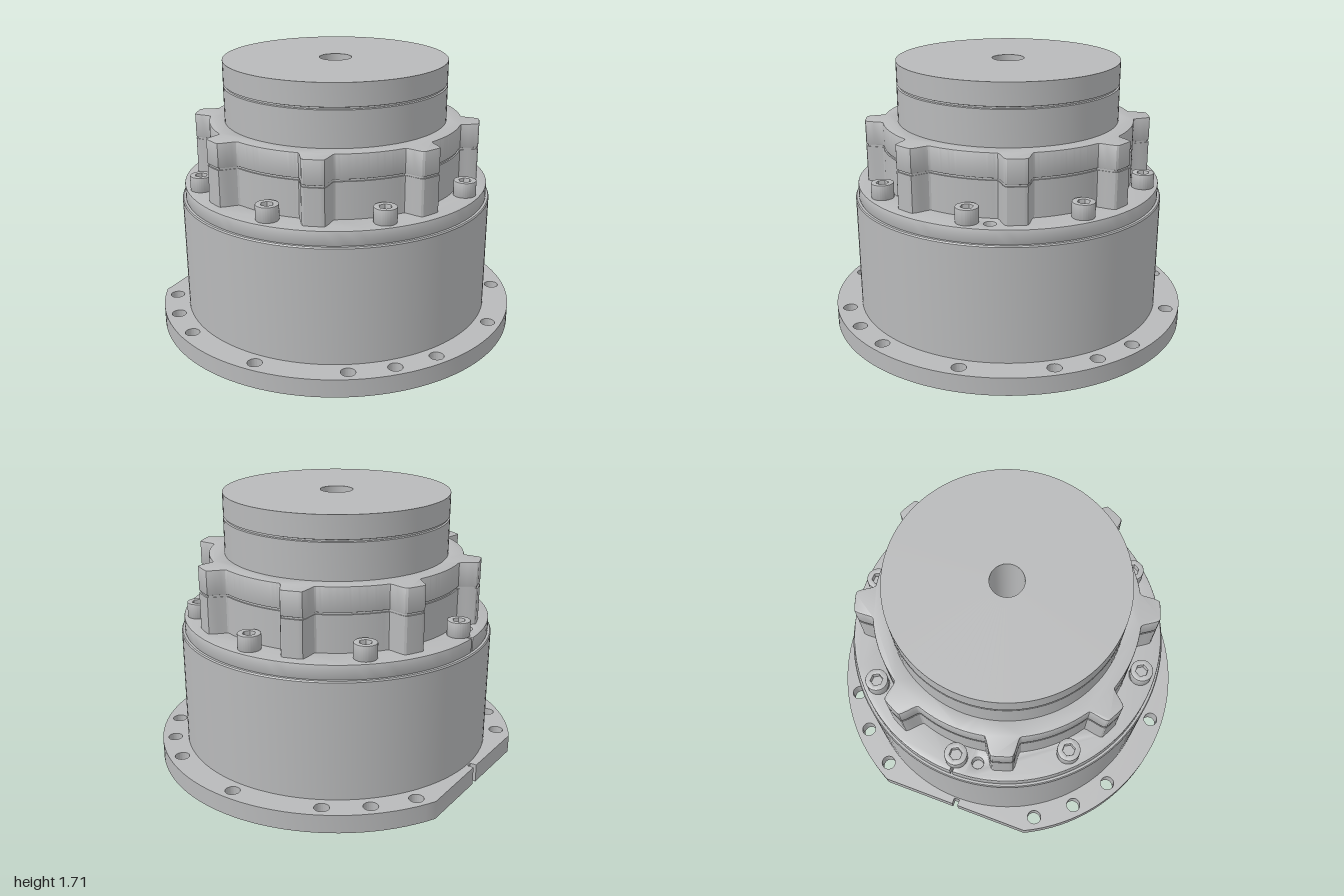
import * as THREE from 'three';
import { toCreasedNormals } from 'three/addons/utils/BufferGeometryUtils.js';

const steel = new THREE.MeshStandardMaterial({ color: 0xb8b9ba });
steel.name = 'plain steel grey';
const RAD = Math.PI / 180;

export function createModel() {
  const group = new THREE.Group();
  group.name = 'gearHousing';
  const unit = new THREE.Group();
  unit.name = 'housingAssembly';
  unit.position.x = -0.051; // flange is cut flat on one side, so the axis sits off centre
  group.add(unit);

  const add = (name, geometry, parent = unit) => {
    const mesh = new THREE.Mesh(geometry, steel);
    mesh.name = name;
    parent.add(mesh);
    return mesh;
  };
  const turned = (profile, segments = 96) =>
    new THREE.LatheGeometry(profile.map(([r, y]) => new THREE.Vector2(r, y)), segments);
  const crease = (g) => toCreasedNormals(g, 0.5);

  // Upright prism from a plan outline drawn in (x, z)
  const prism = (shape, y0, y1, bevel = 0) => {
    const g = new THREE.ExtrudeGeometry(shape, {
      depth: y1 - y0 - 2 * bevel, curveSegments: 48, bevelEnabled: bevel > 0,
      bevelThickness: bevel, bevelSize: bevel, bevelOffset: -bevel, bevelSegments: 2,
    });
    g.rotateX(Math.PI / 2);
    g.translate(0, y1 - bevel, 0);
    return crease(g);
  };
  const circle = (x, z, r, PathType = THREE.Path) => {
    const p = new PathType();
    p.absarc(x, z, r, 0, Math.PI * 2, false);
    return p;
  };
  const hexagon = (r, PathType = THREE.Path) => {
    const p = new PathType();
    p.setFromPoints([0, 1, 2, 3, 4, 5].map((i) =>
      new THREE.Vector2(r * Math.cos(i * 60 * RAD), r * Math.sin(i * 60 * RAD))));
    p.closePath();
    return p;
  };
  // Circle with a narrow notch, or a flat with a notch, on the -x side
  const notched = (r, flatX, notchX, half) => {
    const flatHalf = Math.sqrt(r * r - flatX * flatX);
    const a = Math.PI - Math.atan2(flatHalf, -flatX);
    const s = new THREE.Shape();
    s.absarc(0, 0, r, -a, a, false);
    s.lineTo(flatX, half);
    s.lineTo(notchX, half);
    s.lineTo(notchX, -half);
    s.lineTo(flatX, -half);
    s.closePath();
    return s;
  };

  // Mounting flange with bolt holes
  const flange = notched(1, -0.9, -0.865, 0.016);
  flange.holes.push(circle(0, 0, 0.845));
  for (const deg of [0, 30, 45, 60, 90, 120, 135, 150, -30, -45, -60, -90, -120, -135, -150]) {
    flange.holes.push(circle(0.93 * Math.cos(deg * RAD), 0.93 * Math.sin(deg * RAD), 0.039));
  }
  add('mountingFlange', prism(flange, 0.22, 0.32));

  // Main drum, with the slightly sunk plate underneath
  add('drum', crease(turned([
    [0.6, 0.235], [0.846, 0.235], [0.846, 0.315], [0.857, 0.315],
    [0.857, 0.955], [0.852, 0.962], [0.6, 0.962],
  ], 128)));

  // Collar with a slit and two small dowel holes
  const collar = notched(0.84, -0.8399, -0.815, 0.006);
  collar.holes.push(circle(0, 0, 0.62), circle(0.75, -0.115, 0.03), circle(-0.75, 0.115, 0.03));
  add('collar', prism(collar, 0.96, 1.04, 0.006));

  // Lobed ring in two stacked layers
  const lobes = (inset) => {
    const pts = [];
    for (let deg = 0; deg < 360; deg += 0.75) {
      const off = Math.abs(((deg - 26.5 + 382.5) % 45) - 22.5);
      const r = 0.69 + 0.095 * (1 - THREE.MathUtils.smoothstep(off, 3.6, 7.6)) - inset;
      pts.push(new THREE.Vector2(r * Math.cos(deg * RAD), r * Math.sin(deg * RAD)));
    }
    const s = new THREE.Shape(pts);
    s.holes.push(circle(0, 0, 0.59));
    return s;
  };
  add('lowerLobedRing', prism(lobes(0), 1.035, 1.238));
  add('ringSeam', prism(lobes(0.008), 1.236, 1.25));
  add('upperLobedRing', prism(lobes(0), 1.248, 1.38, 0.005));

  // Top cap with its groove, and the bore running down the middle
  add('topCap', crease(turned([
    [0.607, 1.37], [0.607, 1.573], [0.598, 1.576], [0.598, 1.584], [0.607, 1.587],
    [0.607, 1.708], [0.087, 1.708],
  ])));
  add('bore', crease(turned([[0.087, 1.708], [0.087, 0.3]], 32)));

  // Tapered bottom cup: four screw pockets are scooped from its side
  const side = [];
  for (let i = 0; i <= 14; i++) side.push([0.65 + 0.055 * i / 14, 0.015 + 0.225 * i / 14]);
  const cup = turned([[0.087, 0.3], [0.17, 0.3], [0.17, 0], [0.635, 0], [0.645, 0.004], ...side], 288);
  const pos = cup.attributes.position;
  const pocketAt = 0.74, pocketR = 0.075;
  for (let i = 0; i < pos.count; i++) {
    const x = pos.getX(i), z = pos.getZ(i), r = Math.hypot(x, z);
    const quarter = Math.PI / 2;
    const a = ((Math.atan2(z, x) + 2 * Math.PI) % quarter) - quarter / 2;
    const across = pocketAt * Math.sin(a);
    if (r < 0.64 || Math.abs(across) >= pocketR) continue;
    const cut = pocketAt * Math.cos(a) - Math.sqrt(pocketR ** 2 - across ** 2);
    if (cut < r) pos.setXYZ(i, x * cut / r, pos.getY(i), z * cut / r);
  }
  add('bottomCup', crease(cup));

  // Socket-head screws: eight on the collar, four under the flange
  const head = (r, socket, y0, y1) => {
    const s = circle(0, 0, r, THREE.Shape);
    s.holes.push(hexagon(socket));
    return prism(s, y0, y1, 0.004);
  };
  const screwHead = head(0.06, 0.033, 0, 0.083);
  const socketFloor = prism(hexagon(0.036, THREE.Shape), 0.01, 0.045);
  const screw = (name, deg, radius, y, flip) => {
    const g = new THREE.Group();
    g.name = name;
    add('screwHead', screwHead, g);
    add('socketFloor', socketFloor, g);
    g.position.set(radius * Math.cos(deg * RAD), y, radius * Math.sin(deg * RAD));
    if (flip) {
      g.rotation.x = Math.PI;
      g.scale.set(0.75, 0.25, 0.75);
    }
    unit.add(g);
  };
  for (let i = 0; i < 8; i++) screw('collarScrew', i * 45, 0.76, 1.04, false);
  for (let i = 0; i < 4; i++) screw('undersideScrew', 45 + i * 90, 0.735, 0.24, true);

  return group;
}
